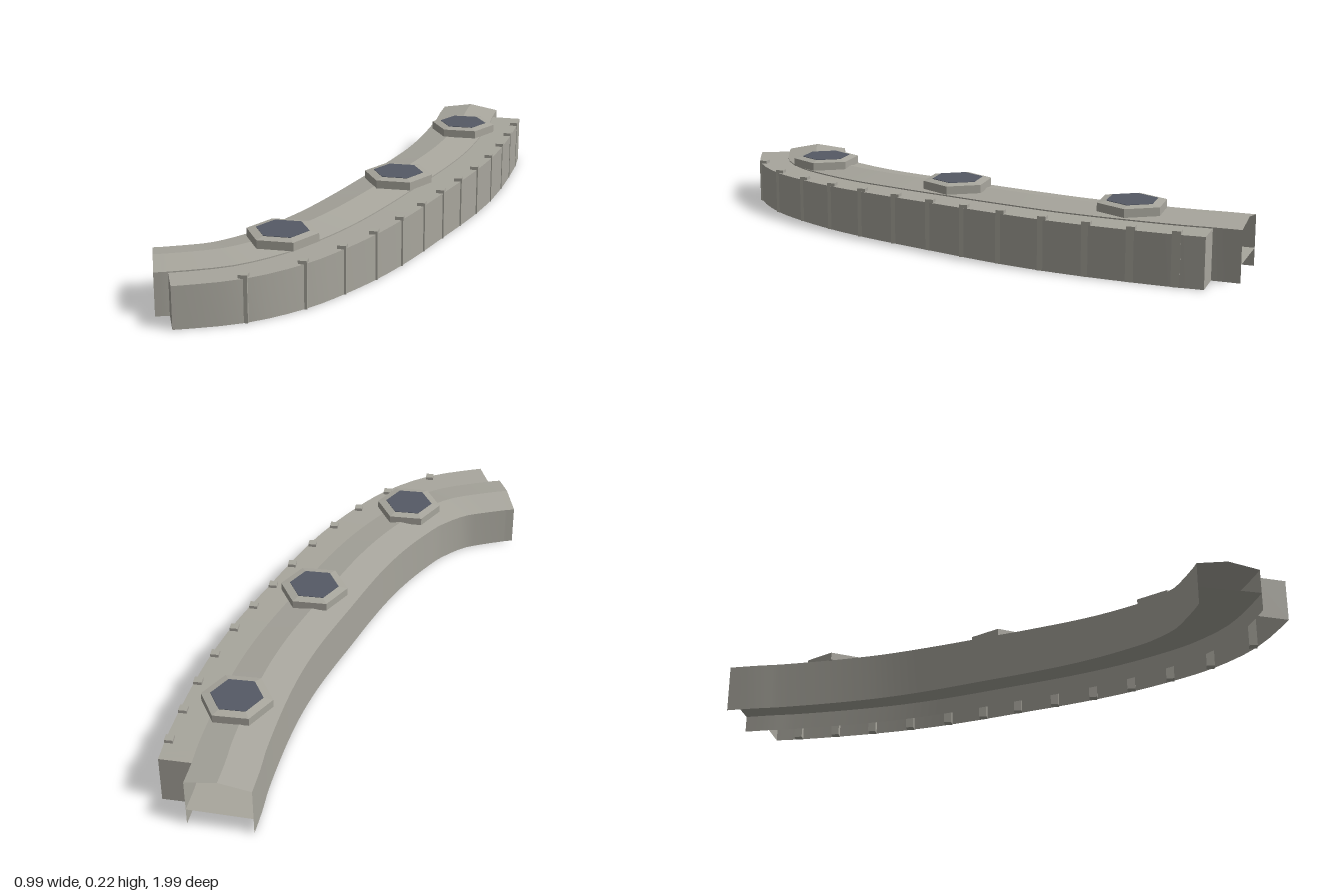
import * as THREE from 'three';

const stone = new THREE.MeshStandardMaterial({ color: 0xa8a69d, side: THREE.DoubleSide });
stone.name = 'stone';
const hatch = new THREE.MeshStandardMaterial({ color: 0x555a65 });
hatch.name = 'dark hatch';

// Plan positions (x, z) of the posts along the outer wall
const posts = [
  [0.485, -0.805], [0.475, -0.66], [0.46, -0.515], [0.437, -0.366], [0.403, -0.217],
  [0.363, -0.08], [0.32, 0.053], [0.276, 0.192], [0.226, 0.334], [0.167, 0.472],
  [0.093, 0.61], [0, 0.748], [-0.15, 0.886],
];
// Plan curve: the first and last stretches carry only the covered passage
const ends = [[[0.491, -0.985], [0.486, -0.895]], [[-0.348, 0.978], [-0.395, 0.994]]];
const plan = [...ends[0], ...posts, ...ends[1]];
const curve = new THREE.CatmullRomCurve3(plan.map(([x, z]) => new THREE.Vector3(x, 0, z)));
const STEPS = 3;
const COUNT = (plan.length - 1) * STEPS;

// Eave height falls gently towards the front
const levels = [[-0.2, 0.171], [0.3, 0.164], [0.7, 0.153], [1, 0.143]];
function eave(z) {
  if (z <= levels[0][0]) return levels[0][1];
  for (let i = 1; i < levels.length; i++) {
    const [z0, y0] = levels[i - 1], [z1, y1] = levels[i];
    if (z <= z1) return THREE.MathUtils.mapLinear(z, z0, z1, y0, y1);
  }
  return levels[levels.length - 1][1];
}

// Point at a station, moved inward from the outer face
function at(i, inward, height) {
  const u = i / COUNT;
  const p = curve.getPoint(u), t = curve.getTangent(u);
  const d = inward - 0.013;
  return [p.x - t.z * d, height(eave(p.z)), p.z + t.x * d];
}

const ground = () => 0;
const floorY = () => 0.06;
const top = (h) => h;
const ledge = (h) => h - 0.004;
const ridge = (h) => h + 0.018;

function surface(name, rows) {
  const pos = rows.flat(2), index = [];
  for (let i = 0; i < rows.length - 1; i++) {
    const k = i * 2;
    index.push(k, k + 1, k + 2, k + 1, k + 3, k + 2);
  }
  const g = new THREE.BufferGeometry();
  g.setAttribute('position', new THREE.Float32BufferAttribute(pos, 3));
  g.setIndex(index);
  g.computeVertexNormals();
  const mesh = new THREE.Mesh(g, stone);
  mesh.name = name;
  return mesh;
}

// Strip following the curve between two lines of the cross-section
function ribbon(name, a, b, from = 0, to = COUNT) {
  const rows = [];
  for (let i = from; i <= to; i++) rows.push([at(i, ...a), at(i, ...b)]);
  return surface(name, rows);
}

function hexTurret(x, z, y) {
  const g = new THREE.Group();
  g.name = 'hexagonalMount';
  g.position.set(x, y, z);
  const add = (name, rTop, rBottom, h, base, mat) => {
    const geo = new THREE.CylinderGeometry(rTop, rBottom, h, 6).toNonIndexed();
    geo.computeVertexNormals();
    const m = new THREE.Mesh(geo, mat);
    m.name = name;
    m.rotation.y = Math.PI / 6;
    m.position.y = base + h / 2;
    g.add(m);
  };
  add('mountBase', 0.117, 0.117, 0.028, 0, stone);
  add('mountBevel', 0.086, 0.117, 0.005, 0.028, stone);
  add('mountHatch', 0.086, 0.086, 0.002, 0.0325, hatch);
  return g;
}

export function createModel() {
  const group = new THREE.Group();
  group.name = 'curvedRampart';
  const INNER = 0.32, MID = 0.107, RIDGE = 0.213;
  const first = STEPS, last = COUNT - STEPS;

  // Covered passage
  group.add(
    ribbon('innerWall', [INNER, ground], [INNER, top]),
    ribbon('innerRoofSlope', [INNER, top], [RIDGE, ridge]),
    ribbon('outerRoofSlope', [RIDGE, ridge], [MID, top]),
    ribbon('middleWall', [MID, top], [MID, ground]),
    ribbon('passageFloor', [INNER, floorY], [MID, floorY]),
  );

  // Outer ledge, wall and end caps
  group.add(
    ribbon('outerLedge', [MID, ledge], [0, ledge], first, last),
    ribbon('outerWall', [0, ledge], [0, ground], first, last),
  );
  for (const i of [first, last]) {
    group.add(surface('ledgeEnd', [
      [at(i, MID, ground), at(i, MID, ledge)],
      [at(i, 0, ground), at(i, 0, ledge)],
    ]));
  }

  // Wall posts
  for (const [x, z] of posts) {
    const h = eave(z) + 0.007;
    const post = new THREE.Mesh(new THREE.BoxGeometry(0.028, h, 0.028), stone);
    post.name = 'wallPost';
    post.position.set(x, h / 2, z);
    group.add(post);
  }

  // Hexagonal mounts on the roof
  group.add(
    hexTurret(0.307, -0.625, 0.187),
    hexTurret(0.165, 0.01, 0.182),
    hexTurret(-0.098, 0.61, 0.167),
  );
  return group;
}
